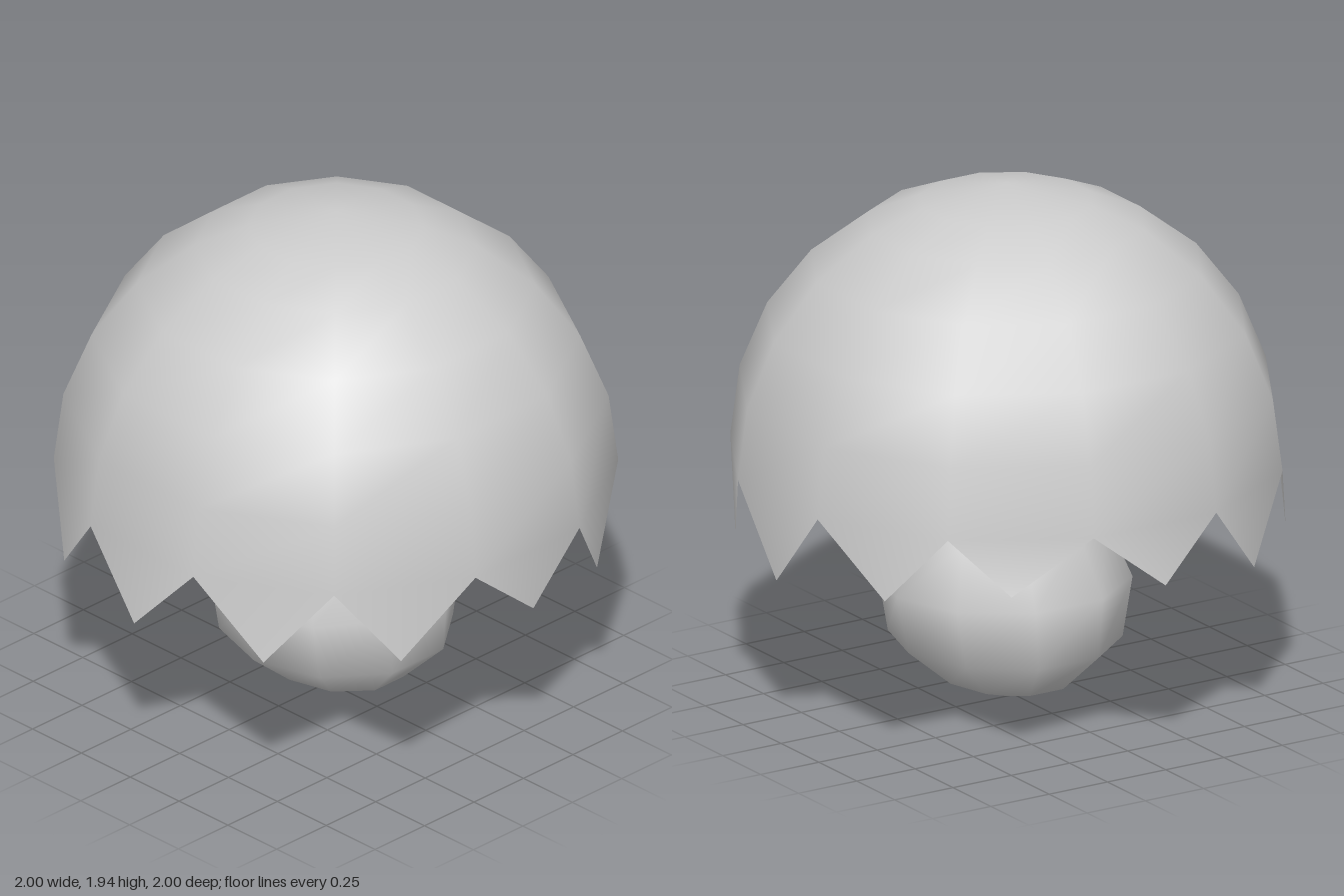
import * as THREE from 'three';

// Smooth skin over elliptical rings [y, rx, rz], listed bottom to top.
// A zero radius makes a pole. Optional teeth hang below the first ring.
function loft(rings, sides, phase, cx, cz, teeth = []) {
  const pos = [], idx = [], start = [];
  for (const [y, rx, rz] of rings) {
    start.push(pos.length / 3);
    const n = rx === 0 ? 1 : sides;
    for (let i = 0; i < n; i++) {
      const a = phase + (i / sides) * Math.PI * 2;
      pos.push(cx + rx * Math.sin(a), y, cz + rz * Math.cos(a));
    }
  }
  const at = (j, i) => start[j] + (rings[j][1] === 0 ? 0 : (i + sides) % sides);
  for (let j = 0; j < rings.length - 1; j++) {
    for (let i = 0; i < sides; i++) {
      const a = at(j, i), b = at(j, i + 1), c = at(j + 1, i), d = at(j + 1, i + 1);
      if (a !== b) idx.push(a, b, d);
      if (c !== d) idx.push(a, d, c);
    }
  }
  teeth.forEach((tip, k) => {
    idx.push(at(0, k - 1), pos.length / 3, at(0, k));
    pos.push(...tip);
  });
  const g = new THREE.BufferGeometry();
  g.setAttribute('position', new THREE.Float32BufferAttribute(pos, 3));
  g.setIndex(idx);
  g.computeVertexNormals();
  return g;
}

export function createModel() {
  const group = new THREE.Group();

  // Thin dome with a jagged rim
  const R = 1.015, rim = 0.92;
  const domeRings = [0, 15, 30, 45, 60].map((deg) => {
    const t = THREE.MathUtils.degToRad(deg);
    return [rim + R * Math.sin(t), R * Math.cos(t), R * Math.cos(t)];
  });
  domeRings.push([1.878, 0.317, 0.317], [1.942, 0, 0]);
  // Slightly irregular tooth tips, from the front towards +x
  const tips = [
    [0.05, 0.68, 1.0], [0.5, 0.62, 0.87], [0.87, 0.63, 0.5],
    [1.0, 0.61, 0.03], [0.88, 0.66, -0.5], [0.57, 0.72, -0.86],
    [0.0, 0.7, -1.0], [-0.49, 0.63, -0.83], [-0.84, 0.63, -0.5],
    [-1.0, 0.64, 0.02], [-0.86, 0.63, 0.54], [-0.5, 0.63, 0.88],
  ];
  const dome = new THREE.Mesh(
    loft(domeRings, 12, Math.PI / 12, 0.02, 0.02, tips),
    new THREE.MeshStandardMaterial({ color: 0xcccccc, side: THREE.DoubleSide })
  );
  dome.name = 'jaggedDome';
  group.add(dome);

  // Pear-shaped body whose neck rises inside the dome
  const bodyRings = [
    [0, 0, 0], [0.09, 0.235, 0.285], [0.24, 0.415, 0.44], [0.46, 0.465, 0.445],
    [0.68, 0.375, 0.325], [0.84, 0.27, 0.225], [0.95, 0.205, 0.2],
    [1.1, 0.185, 0.185], [1.2, 0.14, 0.14], [1.25, 0.07, 0.07], [1.26, 0, 0],
  ];
  const body = new THREE.Mesh(
    loft(bodyRings, 10, Math.PI / 10, 0.035, 0.005),
    new THREE.MeshStandardMaterial({ color: 0xcccccc })
  );
  body.name = 'pearBody';
  group.add(body);

  return group;
}
